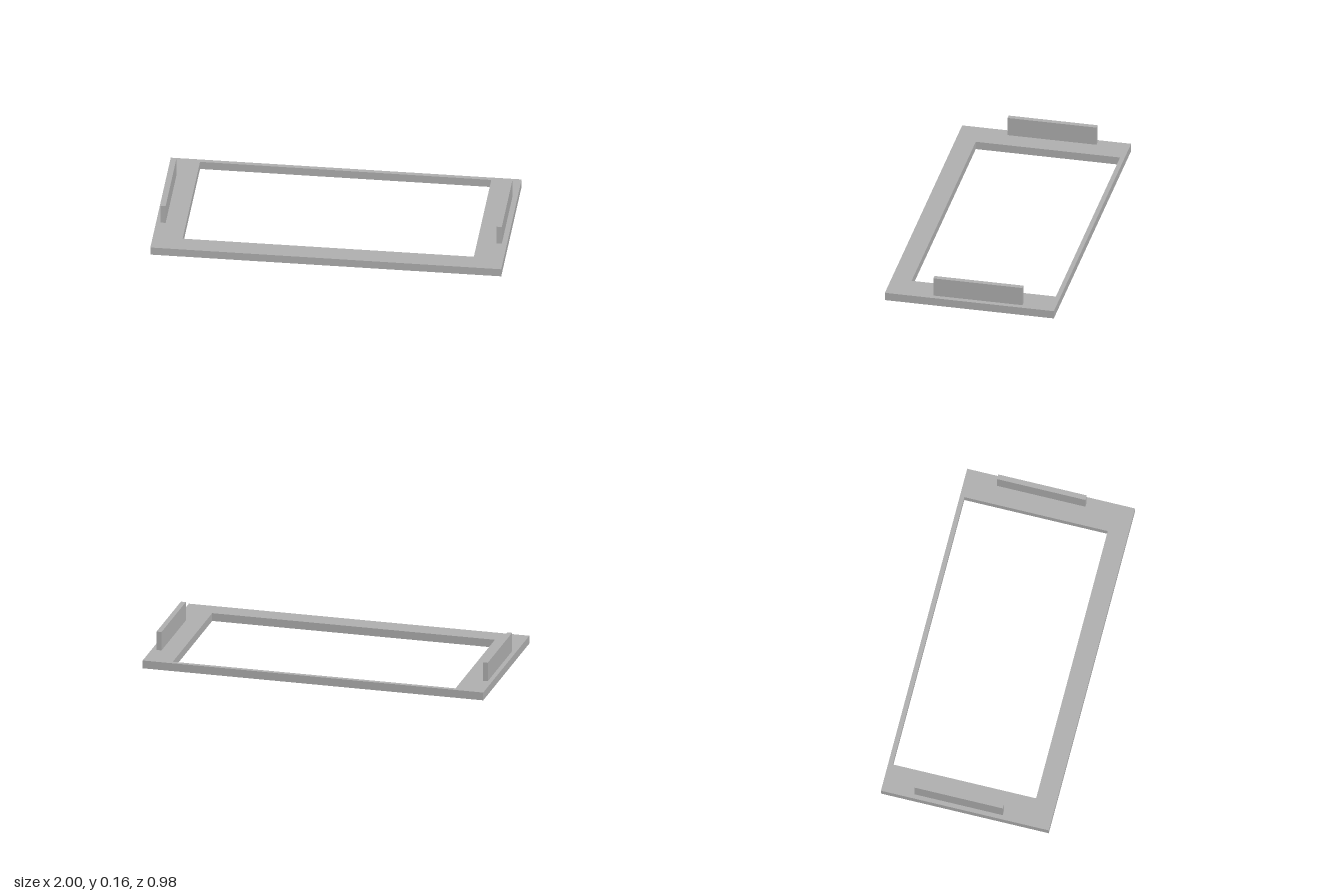
import * as THREE from 'three';

const FRAME_HEIGHT = 0.047;

// Traces a rectangle on the plan (x, z)
function rectangle(path, x0, z0, x1, z1) {
  path.moveTo(x0, z0);
  path.lineTo(x1, z0);
  path.lineTo(x1, z1);
  path.lineTo(x0, z1);
  path.closePath();
  return path;
}

export function createModel() {
  const model = new THREE.Group();
  model.name = 'frameWithRails';
  const grey = new THREE.MeshStandardMaterial({ color: 0xb2b2b2 });
  grey.name = 'plain grey';

  // Flat frame: thin at the back, wider at the front and sides
  const plan = rectangle(new THREE.Shape(), -1, -0.49, 1, 0.49);
  plan.holes.push(rectangle(new THREE.Path(), -0.83, -0.464, 0.83, 0.373));
  const frameGeometry = new THREE.ExtrudeGeometry(plan, { depth: FRAME_HEIGHT, bevelEnabled: false });
  frameGeometry.rotateX(Math.PI / 2).translate(0, FRAME_HEIGHT, 0);
  const frame = new THREE.Mesh(frameGeometry, grey);
  frame.name = 'frame';
  model.add(frame);

  // Upright rails on the two sides
  const railHeight = 0.111;
  const railGeometry = new THREE.BoxGeometry(0.029, railHeight, 0.516);
  for (const [name, x] of [['leftRail', 0.956], ['rightRail', -0.96]]) {
    const rail = new THREE.Mesh(railGeometry, grey);
    rail.name = name;
    rail.position.set(x, FRAME_HEIGHT + railHeight / 2, -0.043);
    model.add(rail);
  }

  return model;
}
